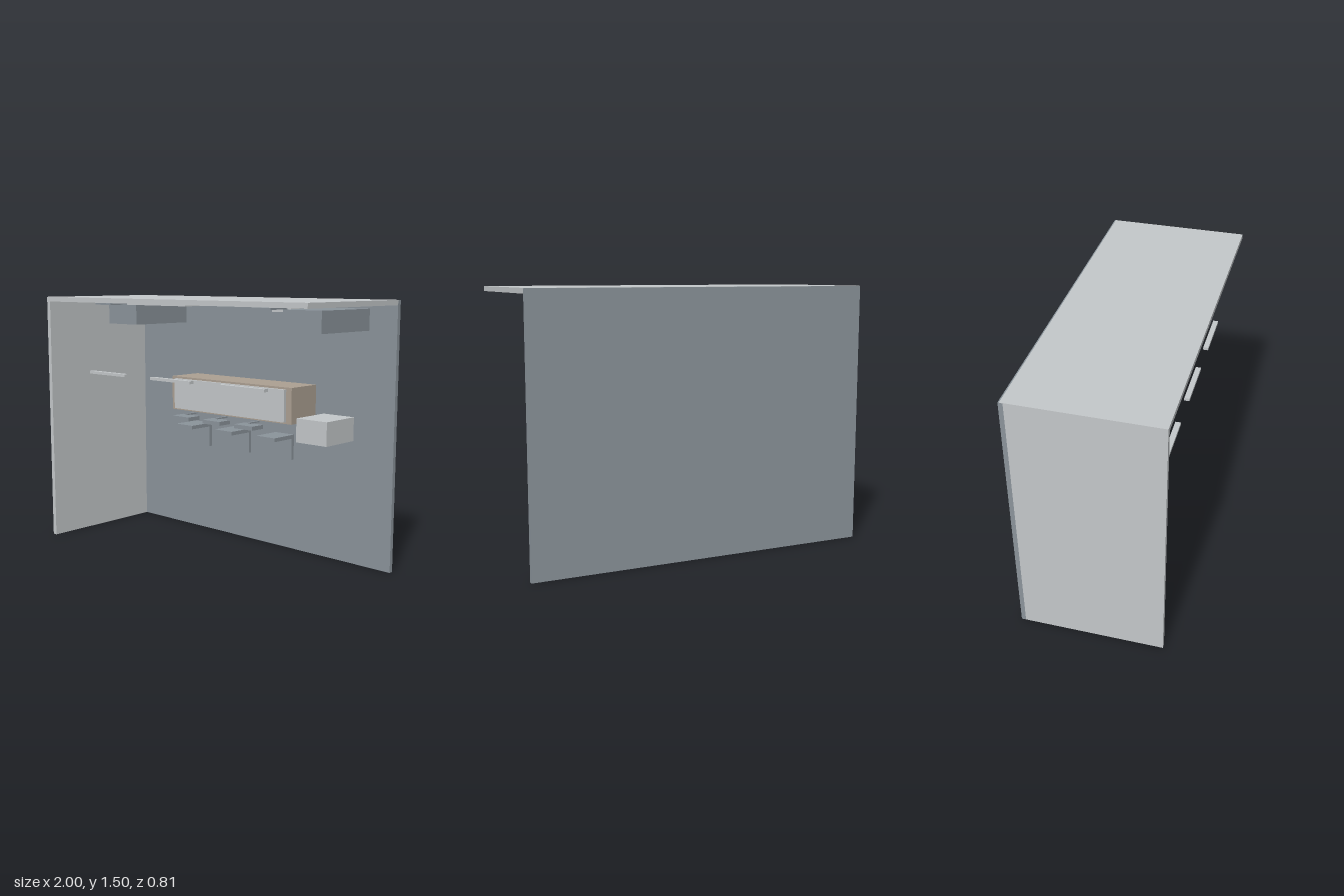
import * as THREE from 'three';

const mat = (name, color) => {
  const m = new THREE.MeshStandardMaterial({ color });
  m.name = name;
  return m;
};

export function createModel() {
  const light = mat('lightGrey', 0xc4c8ca);
  const dark = mat('slateGrey', 0x8b949b);
  const wood = mat('paleWood', 0xaca092);
  const model = new THREE.Group();
  model.name = 'serviceBooth';

  // Box given by its limits on each axis
  const box = (name, material, [x0, x1], [y0, y1], [z0, z1], parent = model) => {
    const mesh = new THREE.Mesh(new THREE.BoxGeometry(x1 - x0, y1 - y0, z1 - z0), material);
    mesh.position.set((x0 + x1) / 2, (y0 + y1) / 2, (z0 + z1) / 2);
    mesh.name = name;
    parent.add(mesh);
  };
  const span = (centre, width) => [centre - width / 2, centre + width / 2];
  const wallFace = -0.38;

  // Shell: back wall, one side wall and ceiling
  box('backWall', dark, [-1, 1], [0, 1.499], [-0.405, wallFace]);
  box('sideWall', light, [-1, -0.972], [0, 1.472], [wallFace, 0.405]);
  box('ceiling', light, [-1, 1], [1.472, 1.5], [wallFace, 0.405]);
  box('ceilingBackEdge', light, [-1, 1], [1.498, 1.5], [-0.398, wallFace]);

  // Counter with its front panel, and the side cabinet
  box('counter', wood, [-0.477, 0.472], [0.8, 1.008], [wallFace, -0.155]);
  box('counterPanel', light, [-0.44, 0.433], [0.81, 0.996], [-0.155, -0.136]);
  box('sideCabinet', light, [0.53, 0.738], [0.711, 0.846], [wallFace, -0.126]);

  // Hanging light bars
  for (const x of [-0.53, 0, 0.525])
    box('lightBar', light, span(x, 0.312), [1.045, 1.061], [0.306, 0.336]);

  // Small trays with their arms
  for (const x of [-0.252, -0.003, 0.248]) {
    const tray = new THREE.Group();
    tray.name = 'tray';
    box('trayTop', dark, span(x, 0.136), [0.767, 0.79], [-0.093, 0], tray);
    box('trayArm', dark, span(x, 0.016), [0.794, 0.802], [-0.136, -0.05], tray);
    model.add(tray);
  }

  // Chairs: a flat pad above an upright panel
  for (const x of [-0.329, -0.003, 0.323]) {
    const chair = new THREE.Group();
    chair.name = 'chair';
    box('chairPad', dark, span(x, 0.136), [0.697, 0.719], [-0.284, -0.107], chair);
    box('chairPanel', dark, span(x, 0.136), [0.572, 0.697], [-0.284, -0.263], chair);
    model.add(chair);
  }

  // Overhead cabinets and fittings below the ceiling
  for (const x of [-0.702, 0.698])
    box('overheadCabinet', dark, span(x, 0.252), [1.331, 1.45], [wallFace, 0.055]);
  for (const x of [-0.7, 0.55])
    box('ceilingVent', dark, span(x, 0.138), [1.453, 1.463], [0.078, 0.215]);
  box('ceilingPanel', light, [-0.63, -0.13], [1.452, 1.461], [-0.08, 0.08]);
  box('wallUnit', light, [0.203, 0.343], [1.42, 1.445], [wallFace, -0.3]);

  return model;
}
